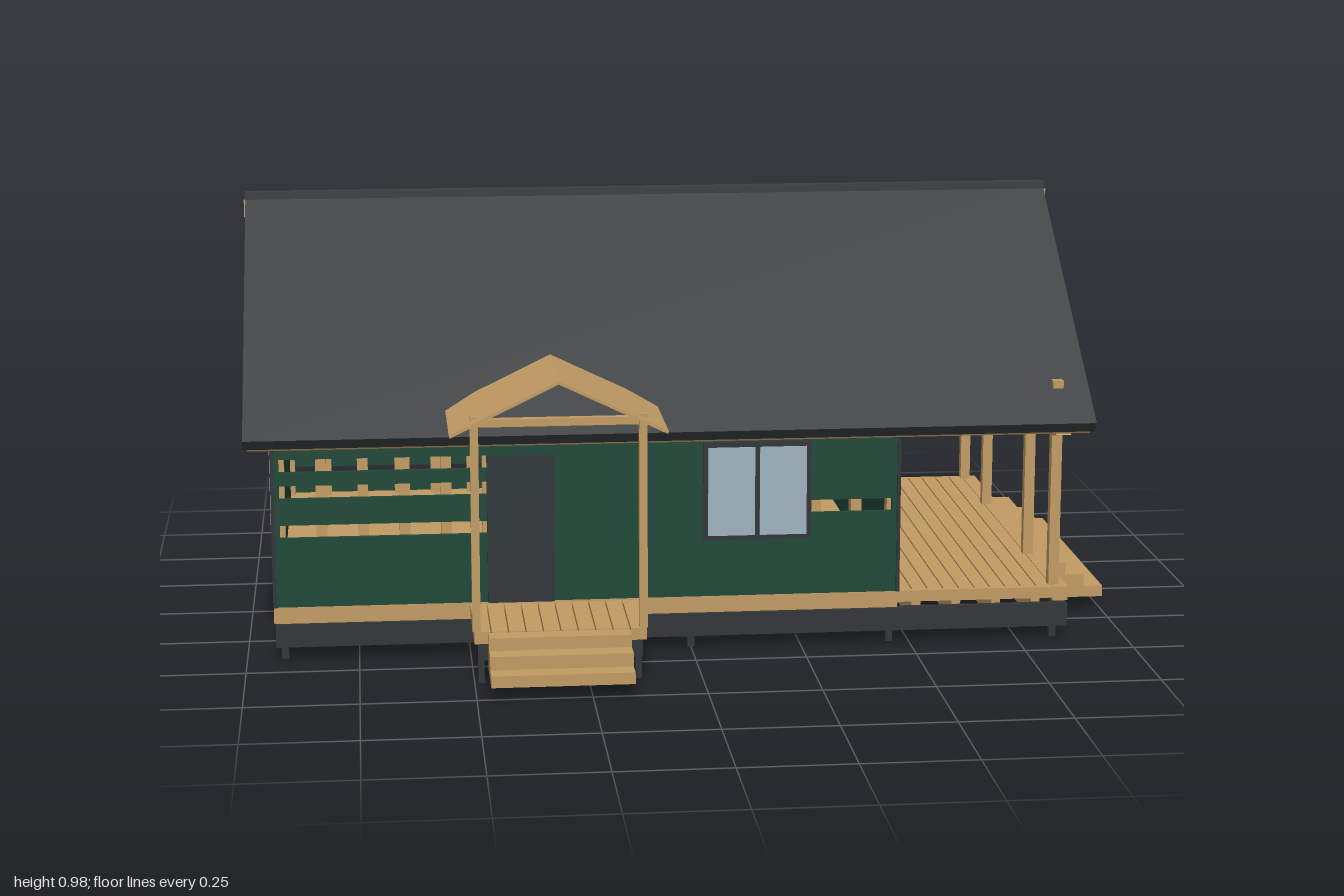
import * as THREE from 'three';

const material = (name, color) => {
  const m = new THREE.MeshStandardMaterial({ color });
  m.name = name;
  return m;
};

const RIDGE_Z = -0.145, RIDGE_Y = 0.976, SLOPE = 0.73;
const ZF = 0.41, ZB = -0.69, XL = -0.935, XR = 0.47, XD = 0.865;
const roofY = (z) => RIDGE_Y - SLOPE * Math.abs(z - RIDGE_Z);

export function createModel() {
  const root = new THREE.Group();
  root.name = 'cabin';
  const wood = material('timber', 0xc29b64);
  const green = material('greenSiding', 0x1e4838);
  const roofing = material('roofing', 0x393e3e);
  const trim = material('darkTrim', 0x313639);
  const glass = material('glass', 0xa0b3bf);

  const group = (name) => {
    const g = new THREE.Group();
    g.name = name;
    root.add(g);
    return g;
  };
  const add = (parent, name, geo, mat) => {
    const m = new THREE.Mesh(geo, mat);
    m.name = name;
    parent.add(m);
    return m;
  };
  const box = (parent, name, mat, x0, x1, y0, y1, z0, z1) => {
    const m = add(parent, name, new THREE.BoxGeometry(x1 - x0, y1 - y0, z1 - z0), mat);
    m.position.set((x0 + x1) / 2, (y0 + y1) / 2, (z0 + z1) / 2);
    return m;
  };
  // Extrudes a [z, y] outline along x
  const prism = (parent, name, mat, pts, x0, x1) => {
    const shape = new THREE.Shape(pts.map(([z, y]) => new THREE.Vector2(-z, y)));
    const geo = new THREE.ExtrudeGeometry(shape, { depth: x1 - x0, bevelEnabled: false });
    geo.rotateY(Math.PI / 2).translate(x0, 0, 0);
    return add(parent, name, geo, mat);
  };
  // Band following the roof slope, from depth a to depth b below its top
  const roofBand = (parent, name, mat, a, b, half, inset, x0, x1) => {
    const p = (d, off) => [RIDGE_Z + d, roofY(RIDGE_Z + d) - off];
    prism(parent, name, mat, [p(half, a), p(0, a), p(-half, a),
      p(-half + inset, b), p(0, b), p(half - inset, b)], x0, x1);
  };

  // Foundation: stilts, dark skirt, joists
  const base = group('foundation');
  for (const x of [-0.915, -0.465, 0, 0.455, 0.835])
    for (const z of [0.385, 0.03, -0.315, -0.67])
      box(base, 'stilt', trim, x - 0.008, x + 0.008, 0, 0.09, z - 0.008, z + 0.008);
  box(base, 'frontSkirt', trim, XL, XD, 0.03, 0.083, ZF - 0.02, ZF);
  box(base, 'backSkirt', trim, XL, XD, 0.03, 0.083, ZB, ZB + 0.02);
  box(base, 'leftSkirt', trim, XD - 0.02, XD, 0.03, 0.083, ZB, ZF);
  box(base, 'rightSkirt', trim, XL, XL + 0.02, 0.03, 0.083, ZB, ZF);
  for (let x = -0.87; x < 0.84; x += 0.0925)
    box(base, 'joist', wood, x - 0.01, x + 0.01, 0.04, 0.098, ZB + 0.02, ZF - 0.02);

  // House floor with its timber band, and the planked porch deck
  const floor = group('floor');
  box(floor, 'floorBand', wood, XL - 0.003, XR, 0.086, 0.123, ZB - 0.003, ZF + 0.003);
  for (let i = 0; i < 10; i++) {
    const x = XR + 0.0015 + i * 0.036;
    box(floor, 'deckPlank', wood, x, x + 0.033, 0.097, 0.123, ZB + 0.012, ZF - 0.012);
  }
  for (const z of [ZB, ZF - 0.012])
    box(floor, 'deckRim', wood, XR, XD, 0.097, 0.123, z, z + 0.012);
  box(floor, 'deckEdge', wood, XD - 0.035, XD, 0.09, 0.123, ZB, ZF);

  // Long walls: siding rows, some boards left out, with studs behind
  const walls = group('walls');
  const frontOpen = { 6: [-0.46, XR], 7: [XL, 0.27], 9: [-0.46, XR], 11: [-0.46, XR] };
  const backOpen = [2, 4, 6, 7, 11];
  for (let i = 0; i < 14; i++) {
    const y = 0.101 + i * 0.03;
    const [x0, x1] = frontOpen[i] || [XL, XR];
    box(walls, 'frontBoard', green, x0, x1, y, y + 0.03, ZF - 0.012, ZF);
    if (!backOpen.includes(i))
      box(walls, 'backBoard', green, XL, XR, y, y + 0.03, ZB, ZB + 0.012);
  }
  for (let i = 0; i < 16; i++) {
    const x = Math.min(-0.92 + i * 0.0925, 0.457);
    box(walls, 'frontStud', wood, x - 0.012, x + 0.012, 0.12, 0.52, ZF - 0.045, ZF - 0.012);
    box(walls, 'backStud', wood, x - 0.012, x + 0.012, 0.12, 0.52, ZB + 0.012, ZB + 0.045);
  }

  // Gable end walls
  const gable = [[ZF, 0.1], [ZF, roofY(ZF) - 0.04], [RIDGE_Z, RIDGE_Y - 0.04],
    [ZB, roofY(ZB) - 0.04], [ZB, 0.1]];
  prism(walls, 'porchGableWall', green, gable, XR - 0.015, XR);
  prism(walls, 'rearGableWall', green, gable, XL, XL + 0.015);
  for (const x of [XL, XR])
    for (const z of [ZF, ZB])
      box(walls, 'cornerTrim', trim, x - 0.004, x + 0.004, 0.123, 0.52, z - 0.004, z + 0.004);

  // Windows: dark frame with thin panes; rows lists the height share of each pane
  const openings = group('windowsAndDoors');
  const windowUnit = (name, w, h, cols, rows, pos, turn) => {
    const g = new THREE.Group();
    g.name = name;
    box(g, 'frame', trim, -w / 2, w / 2, -h / 2, h / 2, -0.014, 0.008);
    const f = 0.011, pw = (w - f) / cols;
    let y = -h / 2 + f;
    for (const share of rows) {
      const ph = (h - f) * share;
      for (let c = 0; c < cols; c++) {
        const x = -w / 2 + f + c * pw;
        box(g, 'pane', glass, x, x + pw - f, y, y + ph - f, 0.006, 0.011);
      }
      y += ph;
    }
    g.position.set(...pos);
    g.rotation.y = turn;
    openings.add(g);
  };
  const Q = Math.PI / 2;
  windowUnit('frontWindow', 0.245, 0.225, 2, [1], [0.147, 0.367, ZF], 0);
  windowUnit('backWindow', 0.13, 0.13, 1, [1], [-0.235, 0.4, ZB], Math.PI);
  windowUnit('porchWindow', 0.224, 0.345, 2, [1], [XR, 0.298, 0.041], Q);
  windowUnit('porchDoor', 0.157, 0.345, 1, [0.44, 0.56], [XR, 0.298, -0.178], Q);
  windowUnit('porchWindow', 0.22, 0.345, 2, [1], [XR, 0.298, -0.396], Q);
  for (const s of [-1, 1]) {
    windowUnit('rearWindow', 0.235, 0.225, 1, [1], [XL, 0.367, -0.123 + s * 0.237], -Q);
    windowUnit('loftWindow', 0.08, 0.1, 1, [1], [XL, 0.66, -0.123 + s * 0.075], -Q);
  }
  box(openings, 'entryDoor', trim, -0.46, -0.31, 0.123, 0.46, ZF - 0.012, ZF + 0.008);

  // Triangular gable glazing
  for (const s of [-1, 1]) {
    const tri = (near, y0, off) => [[RIDGE_Z + s * near, y0], [RIDGE_Z + s * near, RIDGE_Y - near * SLOPE - off],
      [RIDGE_Z + s * (RIDGE_Y - off - y0) / SLOPE, y0]];
    prism(openings, 'gableFrame', trim, tri(0.002, 0.594, 0.068), XR, XR + 0.006);
    prism(openings, 'gableGlass', glass, tri(0.015, 0.604, 0.083), XR, XR + 0.01);
  }

  // Main roof: covering, timber lining, rafters, ridge
  const roof = group('mainRoof');
  roofBand(roof, 'roofCovering', roofing, 0, 0.036, 0.625, 0.018, -0.995, 0.905);
  roofBand(roof, 'roofLining', wood, 0.036, 0.045, 0.605, 0.004, -0.985, 0.895);
  for (let i = 0; i < 21; i++) {
    const x = -0.975 + i * 0.0925;
    roofBand(roof, 'rafter', wood, 0.045, 0.078, 0.595, 0.045, x - 0.01, x + 0.01);
  }
  box(roof, 'ridgeBeam', wood, -0.999, 0.911, 0.922, 0.962, RIDGE_Z - 0.012, RIDGE_Z + 0.012);
  box(roof, 'ridgeCap', roofing, -0.997, 0.907, 0.962, 0.98, RIDGE_Z - 0.017, RIDGE_Z + 0.017);

  // Porch frame: posts, tie beam, king post, heavy end rafters
  const porch = group('porchFrame');
  const post = (z, top) => box(porch, 'porchPost', wood, 0.823, 0.847, 0.123, top, z - 0.012, z + 0.012);
  post(0.382, 0.6);
  post(-0.676, 0.6);
  post(0.105, roofY(0.105) - 0.05);
  post(-0.39, roofY(-0.39) - 0.05);
  box(porch, 'tieBeam', wood, 0.82, 0.85, 0.577, 0.605, -0.62, 0.33);
  box(porch, 'kingPost', wood, 0.823, 0.847, 0.6, 0.93, -0.158, -0.139);
  roofBand(porch, 'endRafter', wood, 0.045, 0.093, 0.605, 0.05, 0.818, 0.852);
  for (const z of [0.382, -0.676])
    box(porch, 'eaveBeam', wood, XR, 0.85, 0.515, 0.54, z - 0.012, z + 0.012);

  // Stairs, three treads each
  const stairs = group('stairs');
  [0.118, 0.09, 0.06].forEach((top, i) => {
    const d = i * 0.045;
    box(stairs, 'porchStep', wood, XD + d, XD + d + 0.045, 0.034, top, -0.47, 0.187);
    box(stairs, 'entryStep', wood, -0.47, -0.16, 0.034, top, 0.64 + d, 0.685 + d);
  });

  // Entry porch: deck, posts, beams and little gable roof
  const entry = group('entryPorch');
  for (let i = 0; i < 10; i++) {
    const x = -0.5 + i * 0.038;
    box(entry, 'entryPlank', wood, x, x + 0.035, 0.093, 0.12, ZF, 0.64);
  }
  box(entry, 'entryBeam', trim, -0.49, -0.13, 0.05, 0.093, 0.608, 0.622);
  for (const x of [-0.485, -0.14])
    box(entry, 'entryStilt', trim, x - 0.007, x + 0.007, 0, 0.093, 0.607, 0.623);
  for (const x of [-0.495, -0.13]) {
    box(entry, 'entryPost', wood, x - 0.009, x + 0.009, 0.12, 0.598, 0.62, 0.638);
    box(entry, 'entrySideBeam', wood, x - 0.009, x + 0.009, 0.565, 0.585, 0.38, 0.64);
  }
  box(entry, 'entryTieBeam', wood, -0.505, -0.12, 0.575, 0.592, 0.62, 0.638);
  const canopy = new THREE.Shape([[-0.55, 0.566], [-0.314, 0.68], [-0.078, 0.566],
    [-0.08, 0.56], [-0.314, 0.673], [-0.548, 0.56]].map(([x, y]) => new THREE.Vector2(x, y)));
  add(entry, 'entryRoof', new THREE.ExtrudeGeometry(canopy, { depth: 0.3, bevelEnabled: false }), wood)
    .position.z = 0.373;

  return root;
}
